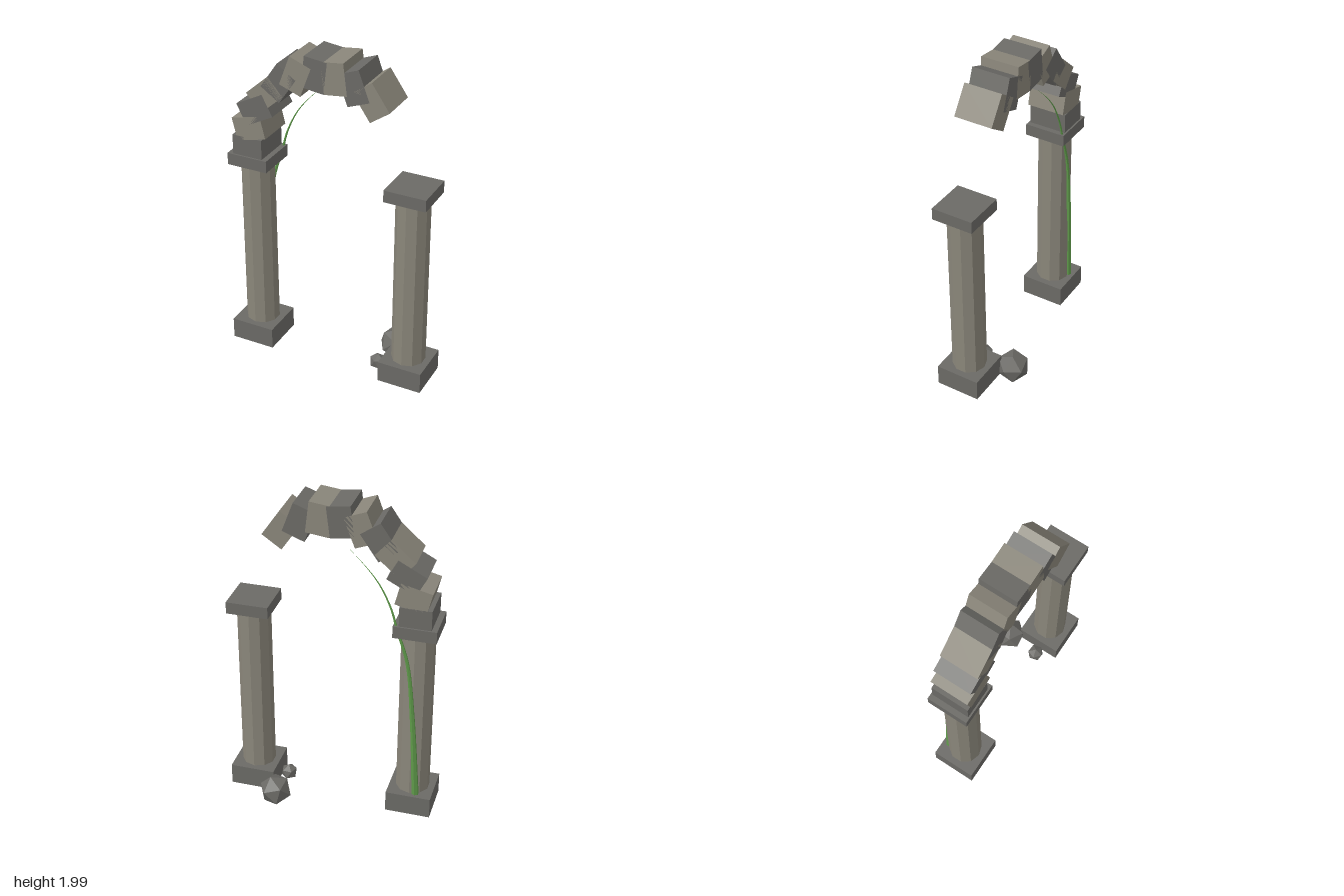
import * as THREE from 'three';

const CZ = 0.07;       // depth centre of the arch
const PILLAR_X = 0.488;

const mat = (color) => new THREE.MeshStandardMaterial({ color, flatShading: true });
const lightStone = mat(0x8a867a);
const darkStone = mat(0x6b6a66);
const leaf = mat(0x5f9a4a);

function add(parent, name, geometry, material, x, y, z) {
  const mesh = new THREE.Mesh(geometry, material);
  mesh.name = name;
  mesh.position.set(x, y, z);
  parent.add(mesh);
  return mesh;
}

// Square base, ten-sided shaft and square capital
function pillar(name, x) {
  const g = new THREE.Group();
  g.name = name;
  add(g, 'base', new THREE.BoxGeometry(0.27, 0.13, 0.27), darkStone, x, 0.113, CZ);
  add(g, 'shaft', new THREE.CylinderGeometry(0.099, 0.101, 1.1, 10), lightStone, x, 0.71, CZ);
  add(g, 'capital', new THREE.BoxGeometry(0.25, 0.072, 0.25), darkStone, x, 1.281, CZ);
  return g;
}

// Round tube that narrows to a point
function taperedTube(curve, radius, segments, sides) {
  const geo = new THREE.TubeGeometry(curve, segments, radius, sides);
  const pos = geo.attributes.position;
  const v = new THREE.Vector3();
  for (let i = 0; i <= segments; i++) {
    const c = curve.getPointAt(i / segments);
    const k = Math.max(0.03, 1 - i / segments);
    for (let j = 0; j <= sides; j++) {
      const n = i * (sides + 1) + j;
      v.fromBufferAttribute(pos, n).sub(c).multiplyScalar(k).add(c);
      pos.setXYZ(n, v.x, v.y, v.z);
    }
  }
  geo.computeVertexNormals();
  return geo;
}

export function createModel() {
  const model = new THREE.Group();
  model.name = 'ruinedArch';

  model.add(pillar('rightPillar', -PILLAR_X), pillar('leftPillar', PILLAR_X));

  // Broken arch: ten of fourteen blocks along a half ellipse, each turned against the curve
  const arch = new THREE.Group();
  arch.name = 'brokenArch';
  const blockGeo = new THREE.BoxGeometry(0.185, 0.137, 0.23);
  for (let i = 0; i < 10; i++) {
    const a = Math.PI * (1 - i / 13);
    const block = add(arch, 'archBlock', blockGeo, i % 2 ? lightStone : darkStone,
      PILLAR_X * Math.cos(a), 1.368 + 0.535 * Math.sin(a), CZ);
    block.rotation.z = Math.PI - a;
  }
  model.add(arch);

  // Vine climbing the back of the standing side
  const path = new THREE.CatmullRomCurve3([
    [-0.525, 0.17, -0.024], [-0.49, 0.72, -0.034], [-0.45, 1.08, -0.036],
    [-0.382, 1.3, -0.036], [-0.35, 1.41, -0.035], [-0.28, 1.553, -0.034],
    [-0.2, 1.653, -0.033], [-0.11, 1.743, -0.032],
  ].map((p) => new THREE.Vector3(...p)));
  add(model, 'vine', taperedTube(path, 0.022, 40, 6), leaf, 0, 0, 0);

  // Fallen stones around the broken side: x, y, z, radius
  const rubble = new THREE.Group();
  rubble.name = 'rubble';
  [
    [0.32, 0.1, -0.124, 0.1],
    [0.3, 0.09, 0.085, 0.052],
    [0.41, 0.085, 0.02, 0.06],
    [0.54, 0.085, 0.11, 0.048],
  ].forEach(([x, y, z, r], i) => {
    const stone = add(rubble, 'stone', new THREE.IcosahedronGeometry(r, 0), darkStone, x, y, z);
    stone.rotation.set(0.3 * i, 0.5 + i, 0.25);
  });
  model.add(rubble);

  return model;
}
